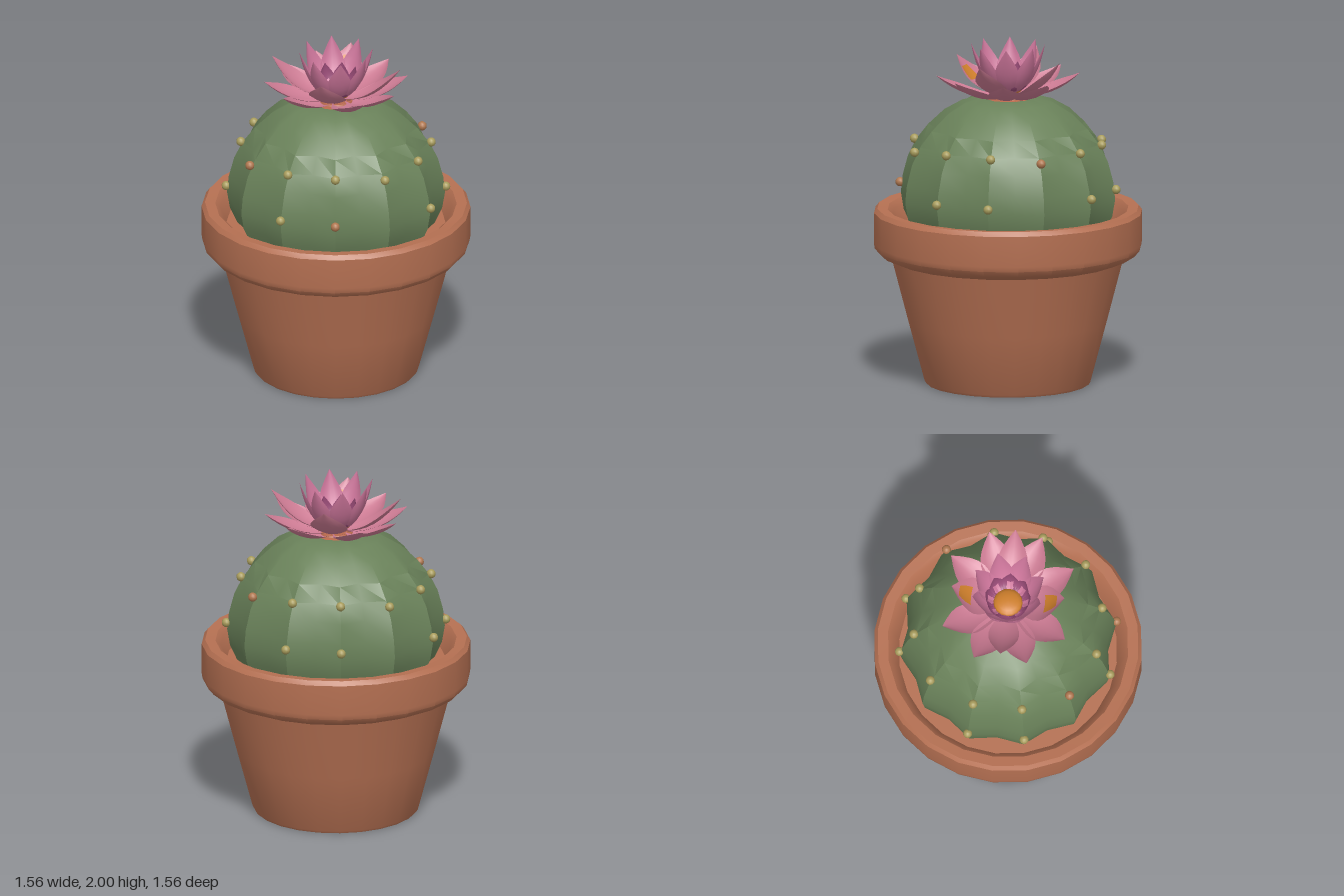
import * as THREE from 'three';
import { toCreasedNormals } from 'three/addons/utils/BufferGeometryUtils.js';

const mat = (name, color, side = THREE.FrontSide) => {
  const m = new THREE.MeshStandardMaterial({ color, side });
  m.name = name;
  return m;
};

export function createModel() {
  const terracotta = mat('terracotta', 0xb57052);
  const green = mat('cactusGreen', 0x6a825a);
  const olive = mat('spineOlive', 0xa89c5c);
  const tan = mat('spineTan', 0xb07850);
  const pink = mat('petalPink', 0xcb7a92, THREE.DoubleSide);
  const rose = mat('petalRose', 0xcc759a, THREE.DoubleSide);
  const plum = mat('petalPlum', 0x9a4c78, THREE.DoubleSide);
  const orange = mat('pollenOrange', 0xd0802c, THREE.DoubleSide);
  const coral = mat('sepalCoral', 0xb8694c, THREE.DoubleSide);

  const model = new THREE.Group();
  const add = (parent, name, geometry, material) => {
    const mesh = new THREE.Mesh(geometry, material);
    mesh.name = name;
    parent.add(mesh);
    return mesh;
  };
  const points = list => list.map(([r, y]) => new THREE.Vector2(r, y));

  // Pot with a thick rim and a hollow top, filled in the same clay colour
  const potProfile = points([
    [0, 0], [0.475, 0], [0.485, 0.015], [0.58, 0.37], [0.675, 0.735], [0.745, 0.765],
    [0.775, 0.8], [0.78, 0.83], [0.78, 1.01], [0.76, 1.035], [0.7, 1.03], [0.67, 1.0],
    [0.635, 0.91], [0, 0.91],
  ]);
  add(model, 'pot', toCreasedNormals(new THREE.LatheGeometry(potProfile, 24), 0.55), terracotta);

  // Cactus body: every second meridian is a ridge, the others are valleys
  const bodyProfile = points([
    [0.56, 0.88], [0.615, 1.0], [0.632, 1.1], [0.622, 1.2], [0.59, 1.32], [0.54, 1.42],
    [0.47, 1.51], [0.375, 1.6], [0.27, 1.66], [0.18, 1.685], [0.1, 1.675], [0, 1.65],
  ]);
  const bodyGeo = new THREE.LatheGeometry(bodyProfile, 24);
  const pos = bodyGeo.attributes.position;
  for (let i = 0; i < pos.count; i++) {
    const meridian = Math.floor(i / bodyProfile.length);
    if (meridian % 2 === 0) {
      const y = pos.getY(i);
      const f = y > 1.5 ? 0.9 : 0.925;
      pos.setXYZ(i, pos.getX(i) * f, y, pos.getZ(i) * f);
    }
  }
  add(model, 'cactusBody', toCreasedNormals(bodyGeo, 0.75), green);

  // Round spine buds on the ridges: a full upper ring, a lower ring without the diagonals
  const buds = new THREE.Group();
  buds.name = 'spineBuds';
  model.add(buds);
  const budGeo = new THREE.SphereGeometry(0.027, 10, 8);
  for (let k = 0; k < 12; k++) {
    const a = THREE.MathUtils.degToRad(15 + 30 * k);
    const diagonal = k % 3 === 1;
    const addBud = (r, y, m) =>
      add(buds, 'spineBud', budGeo, m).position.set(Math.sin(a) * r, y, Math.cos(a) * r);
    addBud(diagonal ? 0.575 : 0.552, diagonal ? 1.395 : 1.42, k === 10 || k === 4 ? tan : olive);
    if (!diagonal) addBud(0.637, Math.abs(Math.cos(a)) > 0.7 ? 1.16 : 1.14, k === 0 ? tan : olive);
  }

  // Flower: cupped, pointed petals bent along a curve of (radius, height)
  const flower = new THREE.Group();
  flower.name = 'flower';
  model.add(flower);
  const petalGeometry = ([base, ctrl, tip], halfWidth, cup, { from = 0, to = 1, across = 1, lift = 0 } = {}) => {
    const [b, c, t] = points([base, ctrl, tip]);
    const curve = new THREE.QuadraticBezierCurve(b, c, t);
    const geo = new THREE.PlaneGeometry(2, 1, 6, 8);
    const p = geo.attributes.position;
    for (let i = 0; i < p.count; i++) {
      const u = THREE.MathUtils.clamp(from + (to - from) * (p.getY(i) + 0.5), 0, 1);
      const s = p.getX(i) * across;
      const w = Math.max(0, Math.sin(Math.PI * (0.14 + 0.86 * Math.pow(u, 1.3))));
      const q = curve.getPoint(u);
      const n = curve.getTangent(u);
      const h = cup * s * s * w + lift;
      p.setXYZ(i, q.x - n.y * h, q.y + n.x * h, s * w * halfWidth);
    }
    geo.computeVertexNormals();
    return geo;
  };
  const addPetals = (name, geo, material, degrees) => {
    for (const d of degrees) add(flower, name, geo, material).rotation.y = THREE.MathUtils.degToRad(d);
  };
  const every = (n, start) => Array.from({ length: n }, (_, i) => start + (360 / n) * i);
  const mirrored = angles => angles.flatMap(a => [a, 180 - a, 180 + a, -a]);

  const outer = [[0.06, 1.685], [0.27, 1.68], [0.42, 1.82]];
  const middleX = [[0.05, 1.7], [0.25, 1.71], [0.385, 1.92]];
  const middleZ = [[0.05, 1.7], [0.22, 1.71], [0.33, 1.91]];
  const inner = [[0.05, 1.71], [0.17, 1.76], [0.215, 2.0]];
  const heart = [[0.06, 1.72], [0.14, 1.74], [0.13, 1.87]];
  addPetals('outerPetal', petalGeometry(outer, 0.095, 0.03), pink, mirrored([21.5, 58.5]));
  addPetals('sidePetal', petalGeometry(middleX, 0.09, 0.03), pink, [0, 180]);
  addPetals('frontBackPetal', petalGeometry(middleZ, 0.11, 0.03), pink, [90, -90]);
  addPetals('innerPetal', petalGeometry(inner, 0.075, 0.025), rose, every(8, 22.5));
  addPetals('heartPetal', petalGeometry(heart, 0.055, 0.015), plum, every(8, 0));

  // Pollen patches on the front and back petals, and the flower centre
  const patch = { from: 0.55, to: 0.82, across: 0.5, lift: 0.005 };
  addPetals('pollenPatch', petalGeometry(middleZ, 0.11, 0.03, patch), orange, [90, -90]);
  const centre = add(flower, 'flowerCentre', new THREE.SphereGeometry(0.085, 16, 8), orange);
  centre.scale.y = 0.4;
  centre.position.y = 1.735;

  // Small sepals under the petals
  const sepal = [[0.04, 1.685], [0.13, 1.69], [0.18, 1.66]];
  addPetals('sepal', petalGeometry(sepal, 0.05, 0), coral, every(8, 22.5));
  add(flower, 'flowerBase', new THREE.CylinderGeometry(0.1, 0.13, 0.06, 16), coral).position.y = 1.665;

  return model;
}
